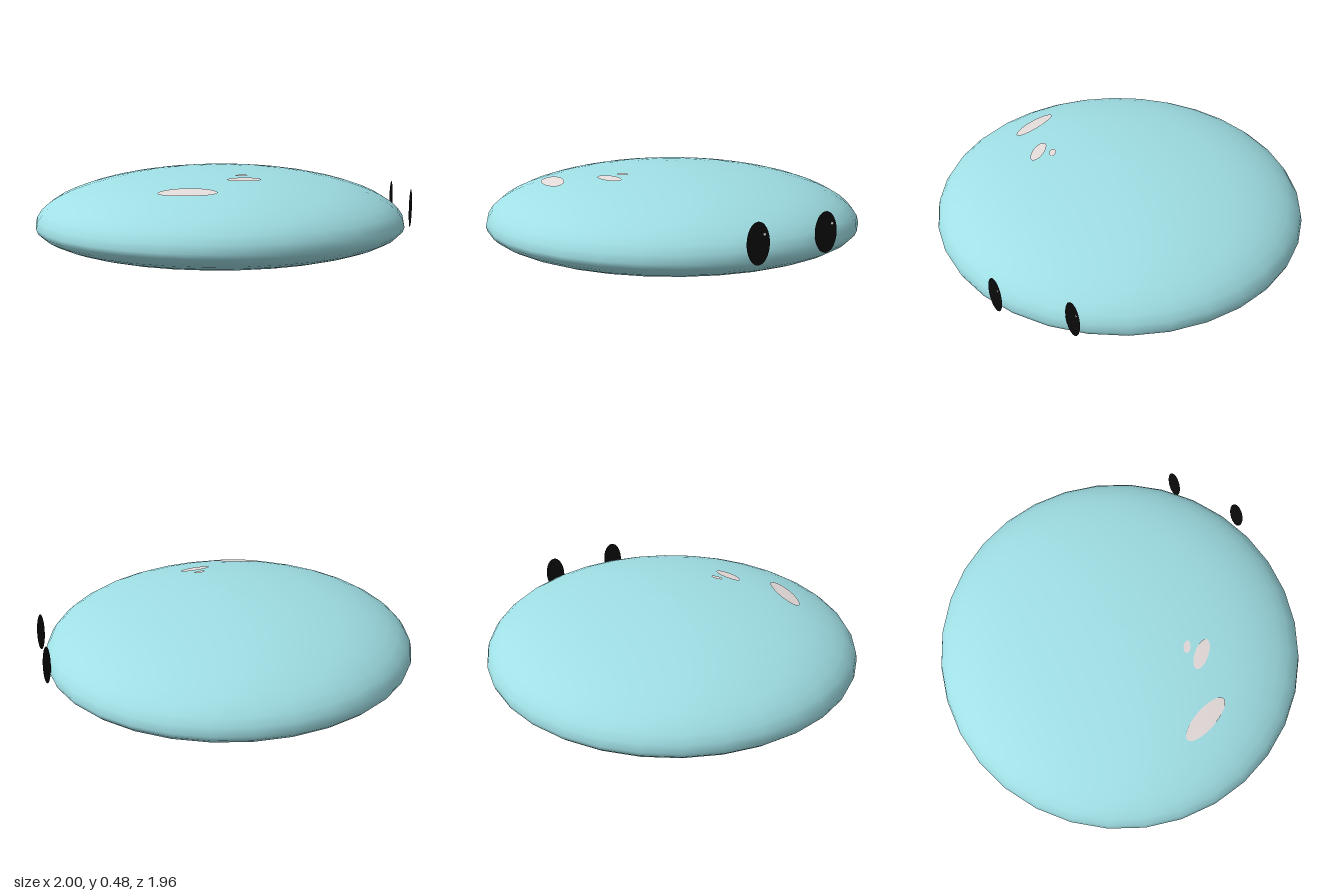
import * as THREE from 'three';

const RIM = 0.19, TOP = 0.297, DEPTH = 0.982;

export function createModel() {
  const model = new THREE.Group();
  const skin = new THREE.MeshStandardMaterial({ color: 0x9fdfe5 });
  skin.name = 'paleTeal';
  const black = new THREE.MeshStandardMaterial({ color: 0x0b0b0c, side: THREE.DoubleSide });
  black.name = 'eyeBlack';
  const shine = new THREE.MeshStandardMaterial({ color: 0xe4dcda, side: THREE.DoubleSide });
  shine.name = 'shinePink';
  const white = new THREE.MeshStandardMaterial({ color: 0xffffff, side: THREE.DoubleSide });
  white.name = 'glintWhite';

  const add = (parent, name, geometry, material) => {
    const mesh = new THREE.Mesh(geometry, material);
    mesh.name = name;
    parent.add(mesh);
    return mesh;
  };

  // Squashed drop body: tall dome above the rim, shallow belly below
  const profile = [];
  const steps = 24;
  for (let i = 0; i <= steps; i++) {
    const a = -Math.PI / 2 + (Math.PI * i) / steps;
    const s = Math.sin(a);
    const r = i === 0 || i === steps ? 0 : Math.cos(a);
    profile.push(new THREE.Vector2(r, RIM + s * (s > 0 ? TOP : RIM - 0.004)));
  }
  const bodyGeo = new THREE.LatheGeometry(profile, 32);
  bodyGeo.rotateY(0.04);
  bodyGeo.scale(1, 1, DEPTH);
  add(model, 'body', bodyGeo, skin);

  // Shine patches draped on the dome: x, z, half length, half width, direction
  const patches = [
    ['largeShine', -0.582, 0.285, 0.145, 0.05, 1.01],
    ['mediumShine', -0.255, 0.367, 0.087, 0.035, 0.64],
    ['smallShine', -0.2, 0.305, 0.034, 0.018, 0.42],
  ];
  for (const [name, x, z, a, b, turn] of patches) {
    const geo = new THREE.CircleGeometry(1, 32);
    geo.scale(a, b, 1);
    geo.rotateX(-Math.PI / 2);
    geo.rotateY(-turn);
    geo.translate(x, 0, z);
    const p = geo.attributes.position;
    for (let i = 0; i < p.count; i++) {
      const r2 = p.getX(i) ** 2 + (p.getZ(i) / DEPTH) ** 2;
      p.setY(i, RIM + TOP * Math.sqrt(1 - r2) + 0.006);
    }
    geo.computeVertexNormals();
    add(model, name, geo, shine);
  }

  // Flat oval eyes floating just off the rim, each with a tiny glint
  for (const [name, x, z] of [['leftEye', 0.835, 0.575], ['rightEye', 0.545, 0.855]]) {
    const eye = new THREE.Group();
    eye.name = name;
    const pupil = new THREE.CircleGeometry(1, 32);
    pupil.scale(0.053, 0.1, 1);
    add(eye, 'pupil', pupil, black);
    const glint = new THREE.CircleGeometry(0.006, 12);
    glint.translate(0.028, 0.042, 0.003);
    add(eye, 'glint', glint, white);
    eye.position.set(x, 0.275, z);
    eye.rotation.y = 0.34;
    model.add(eye);
  }

  return model;
}
